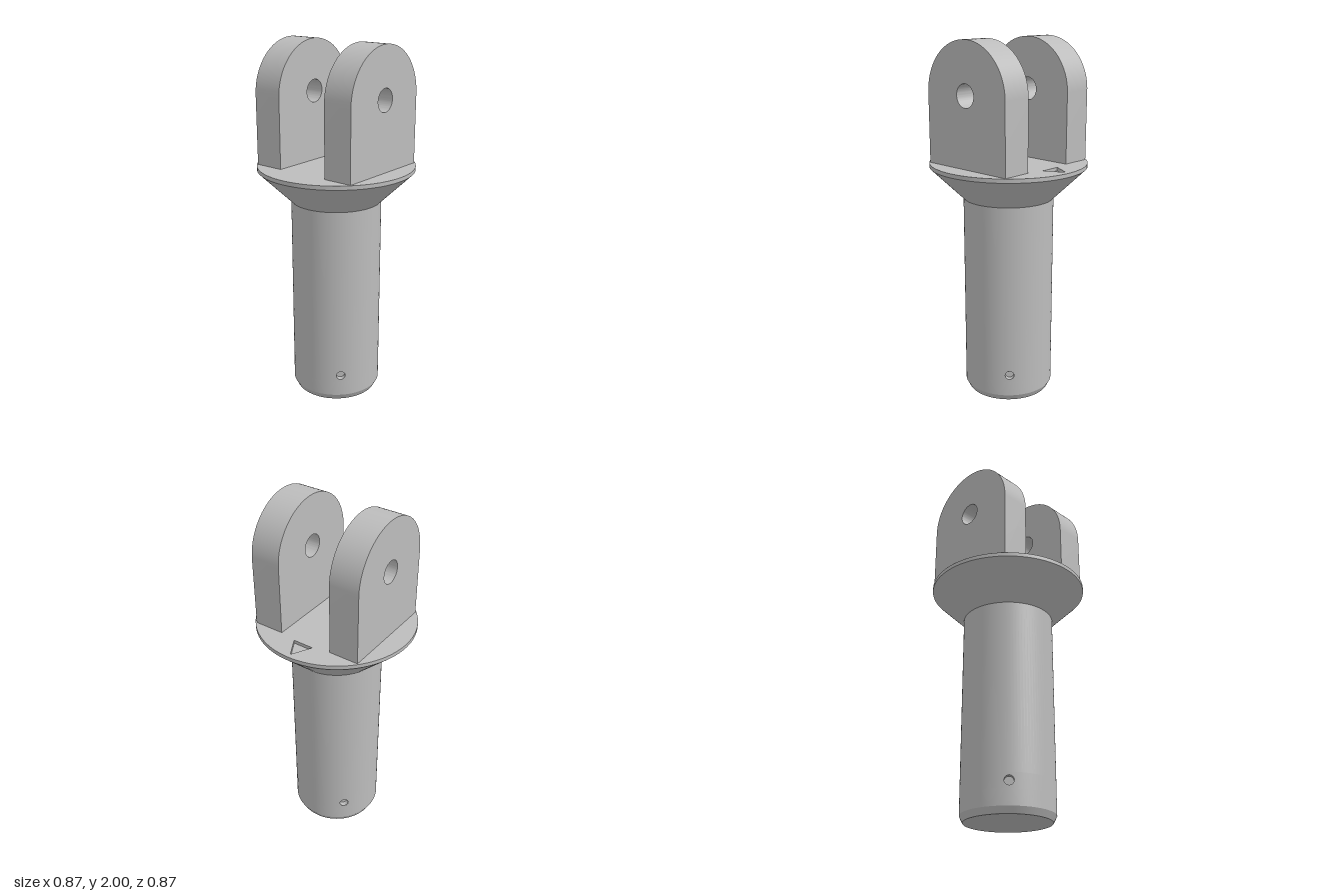
import * as THREE from 'three';
import { mergeGeometries, toCreasedNormals } from 'three/addons/utils/BufferGeometryUtils.js';

const R = 0.25;            // shaft radius
const SEG = 96;            // segments round the axis
const FLANGE_R = 0.433, FLANGE_Y = 1.337;
const PIN_Y = 0.16, PIN_R = 0.025, PIN_DEPTH = 0.03;
const BAND = [0.12, 0.2];  // part of the shaft wall holding the pin holes
const HALF = Math.PI / 24; // half angle of the wall patch round a pin hole

const v2 = (x, y) => new THREE.Vector2(x, y);

function lathe(points, creased = true, start = 0, length = Math.PI * 2) {
  const segments = Math.round(SEG * length / (Math.PI * 2));
  const g = new THREE.LatheGeometry(points.map(p => v2(...p)), segments, start, length);
  return creased ? toCreasedNormals(g, 0.3) : g;
}

// Wall patch with a round hole, wrapped onto the shaft about +z
function pinPatch() {
  const shape = new THREE.Shape();
  const corners = [];
  for (let i = -2; i <= 2; i++) corners.push(v2(R * HALF * i / 2, BAND[0]));
  for (let i = 2; i >= -2; i--) corners.push(v2(R * HALF * i / 2, BAND[1]));
  shape.setFromPoints(corners);
  shape.holes.push(new THREE.Path().absarc(0, PIN_Y, PIN_R, 0, Math.PI * 2, true));
  const g = new THREE.ShapeGeometry(shape, 24);
  const p = g.attributes.position, n = g.attributes.normal;
  for (let i = 0; i < p.count; i++) {
    const a = p.getX(i) / R;
    p.setXYZ(i, R * Math.sin(a), p.getY(i), R * Math.cos(a));
    n.setXYZ(i, Math.sin(a), 0, Math.cos(a));
  }
  return g;
}

// Blind bore whose rim follows the curve of the shaft
function pinBore() {
  const wall = new THREE.CylinderGeometry(PIN_R, PIN_R, PIN_DEPTH, 24, 1, true).rotateX(Math.PI / 2);
  wall.translate(0, PIN_Y, R - PIN_DEPTH / 2);
  const p = wall.attributes.position;
  for (let i = 0; i < p.count; i++) {
    if (p.getZ(i) < R - PIN_DEPTH / 2) continue;
    const a = p.getX(i) / R;
    p.setX(i, R * Math.sin(a));
    p.setZ(i, R * Math.cos(a));
  }
  const floor = new THREE.CircleGeometry(PIN_R, 24).translate(0, PIN_Y, R - PIN_DEPTH);
  return mergeGeometries([wall, floor]);
}

// Upright lug with a round top and a pin hole
function lugGeometry(width, depth) {
  const r = width / 2, cy = 2 - r;
  const s = new THREE.Shape();
  s.moveTo(-r, FLANGE_Y);
  s.lineTo(r, FLANGE_Y);
  s.lineTo(r, cy);
  s.absarc(0, cy, r, 0, Math.PI, false);
  s.closePath();
  s.holes.push(new THREE.Path().absarc(0, 1.72, 0.062, 0, Math.PI * 2, true));
  const g = new THREE.ExtrudeGeometry(s, { depth, bevelEnabled: false, curveSegments: 40 });
  return toCreasedNormals(g.translate(0, 0, -depth / 2), 0.5);
}

export function createModel() {
  const model = new THREE.Group();
  model.name = 'clevisPin';
  const steel = new THREE.MeshStandardMaterial({ color: 0xbcbcbc, side: THREE.DoubleSide });
  steel.name = 'greySteel';
  const add = (name, geometry) => {
    const mesh = new THREE.Mesh(geometry, steel);
    mesh.name = name;
    model.add(mesh);
    return mesh;
  };

  // Shaft with chamfered foot
  add('shaftFoot', lathe([[0, 0], [0.232, 0], [R, 0.035], [R, BAND[0]]]));
  add('shaft', lathe([[R, BAND[1]], [R, 1.137]], false));

  // Band with four pin holes on the diagonals
  for (let i = 0; i < 4; i++) {
    const a = Math.PI / 4 + i * Math.PI / 2;
    add('pinHoleWall', pinPatch().rotateY(a));
    add('pinHoleBore', pinBore().rotateY(a));
    add('shaftBand', lathe([[R, BAND[0]], [R, BAND[1]]], false, a + HALF, Math.PI / 2 - 2 * HALF));
  }

  // Conical flange with a thin rim
  add('flange', lathe([[R, 1.137], [FLANGE_R, 1.315], [FLANGE_R, FLANGE_Y]]));

  // Flange top with an engraved direction arrow
  const arrow = [v2(0.3, -0.058), v2(0.3, 0.058), v2(0.407, 0)];
  const arrowDepth = 0.018;
  const disc = new THREE.Shape().absarc(0, 0, FLANGE_R, 0, Math.PI * 2, false);
  disc.holes.push(new THREE.Path(arrow));
  add('flangeTop', new THREE.ShapeGeometry(disc, SEG).rotateX(-Math.PI / 2).translate(0, FLANGE_Y, 0));
  add('arrowFloor', new THREE.ShapeGeometry(new THREE.Shape(arrow))
    .rotateX(-Math.PI / 2).translate(0, FLANGE_Y - arrowDepth, 0));
  arrow.forEach((p, i) => {
    const q = arrow[(i + 1) % 3];
    const wall = new THREE.PlaneGeometry(p.distanceTo(q), arrowDepth);
    wall.rotateY(Math.atan2(q.y - p.y, q.x - p.x));
    wall.translate((p.x + q.x) / 2, FLANGE_Y - arrowDepth / 2, -(p.y + q.y) / 2);
    add('arrowWall', wall);
  });

  // Pair of lugs
  for (const side of [1, -1]) {
    add(side > 0 ? 'frontLug' : 'backLug', lugGeometry(0.565, 0.168)).position.z = side * 0.236;
  }
  return model;
}
